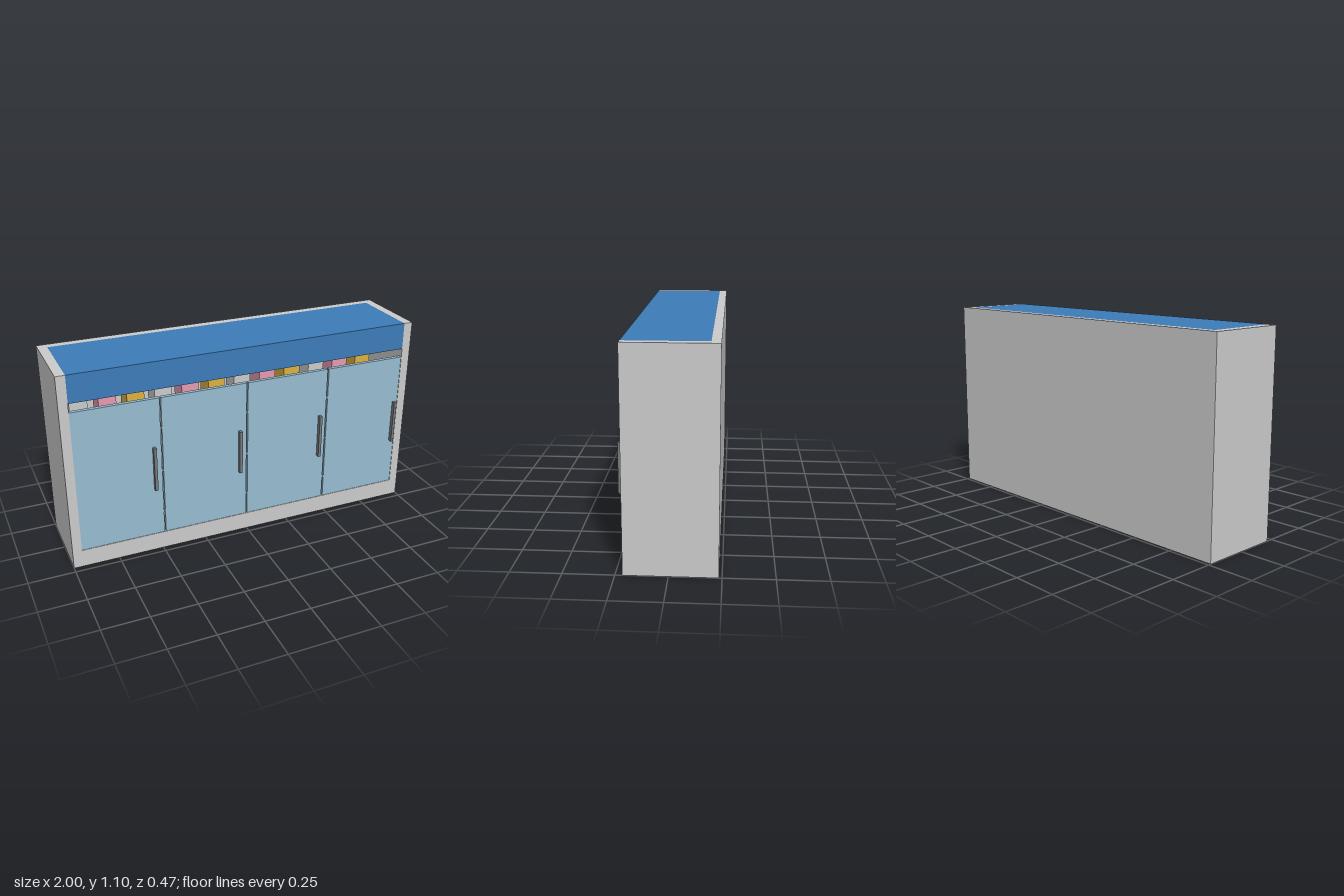
import * as THREE from 'three';

const mat = (color) => new THREE.MeshStandardMaterial({ color });

// Box given by its minimum and maximum corners
function block(parent, name, material, [x0, y0, z0], [x1, y1, z1]) {
  const mesh = new THREE.Mesh(new THREE.BoxGeometry(x1 - x0, y1 - y0, z1 - z0), material);
  mesh.position.set((x0 + x1) / 2, (y0 + y1) / 2, (z0 + z1) / 2);
  mesh.name = name;
  parent.add(mesh);
  return mesh;
}

export function createModel() {
  const model = new THREE.Group();
  model.name = 'sideboard';

  const grey = mat(0xcccccc);
  const blue = mat(0x3c7cb8);
  const glass = mat(0x97bdd1);
  const metal = mat(0x777a7d);
  const itemMats = [mat(0xeeeeee), mat(0xe89ab0), mat(0xdcb244)];

  const H = 1.1, back = -0.235, front = 0.215, inner = 0.95, innerBack = -0.19;

  // Cabinet shell: base, back and two side walls, open at front and top
  const shell = new THREE.Group();
  shell.name = 'cabinet';
  model.add(shell);
  block(shell, 'base', grey, [-1, 0, back], [1, 0.1, front]);
  block(shell, 'backPanel', grey, [-inner, 0.1, back], [inner, H, innerBack]);
  block(shell, 'rightSide', grey, [-1, 0.1, back], [-inner, H, front]);
  block(shell, 'leftSide', grey, [inner, 0.1, back], [1, H, front]);

  // Thick worktop sitting between the walls
  block(model, 'worktop', blue, [-inner, 0.95, innerBack], [inner, H, front]);

  // Inner shelf carrying a row of stored boxes
  block(model, 'shelf', grey, [-inner, 0.48, innerBack], [inner, 0.5, 0.17]);
  const items = new THREE.Group();
  items.name = 'storedItems';
  model.add(items);
  for (let i = 0; i < 12; i++) {
    const x = -0.9 + i * 0.1545;
    block(items, 'storedBox', itemMats[i % 3], [x, 0.5, -0.15], [x + 0.097, 0.86, -0.03]);
  }

  // Four doors, each with a bar handle near its left edge
  const edges = [-inner, -0.484, 0, 0.484, inner];
  for (let i = 0; i < 4; i++) {
    const door = new THREE.Group();
    door.name = 'door';
    model.add(door);
    const x0 = edges[i] + (i > 0 ? 0.004 : 0);
    const x1 = edges[i + 1] - (i < 3 ? 0.004 : 0);
    block(door, 'doorPanel', glass, [x0, 0.1, 0.19], [x1, 0.9, 0.212]);
    const hx = -0.528 + i * 0.485;
    block(door, 'handle', metal, [hx - 0.008, 0.378, 0.205], [hx + 0.008, 0.628, 0.235]);
    // Small hinges in the gap between neighbouring doors
    if (i > 0) {
      for (const y of [0.23, 0.48, 0.73]) {
        block(door, 'hinge', metal, [edges[i] - 0.004, y - 0.006, 0.19], [edges[i] + 0.004, y + 0.006, 0.212]);
      }
    }
  }
  return model;
}
